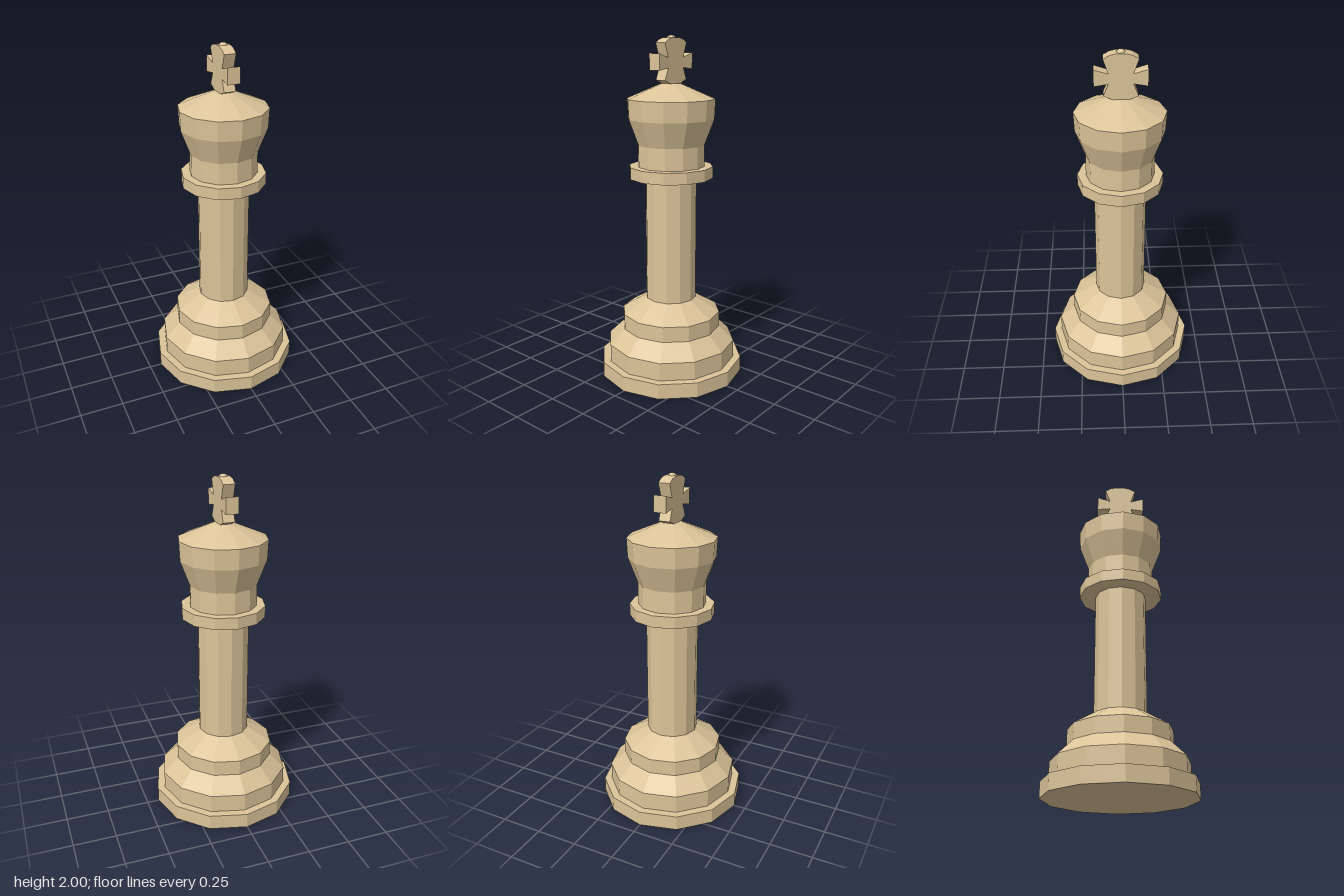
import * as THREE from 'three';

const material = new THREE.MeshStandardMaterial({ color: 0xdcc499, flatShading: true });
const SIDES = 12;

export function createModel() {
  const group = new THREE.Group();
  const add = (name, geometry) => {
    const mesh = new THREE.Mesh(geometry, material);
    mesh.name = name;
    group.add(mesh);
    return mesh;
  };
  // Faceted turning from [radius, height] pairs, listed bottom to top
  const turned = (name, profile) =>
    add(name, new THREE.LatheGeometry(profile.map(([r, y]) => new THREE.Vector2(r, y)), SIDES));

  // Stepped base
  turned('base', [
    [0, 0], [0.43, 0], [0.43, 0.09], [0.385, 0.09], [0.385, 0.197],
    [0.295, 0.285], [0.295, 0.377], [0.15, 0.465],
  ]);

  // Column and collar
  turned('column', [[0.15, 0.465], [0.15, 1.197]]);
  turned('collar', [[0.15, 1.197], [0.245, 1.197], [0.245, 1.265], [0.195, 1.265]]);

  // Flared head with a shallow conical cap
  turned('head', [
    [0.195, 1.265], [0.195, 1.39], [0.25, 1.537], [0.255, 1.65], [0.055, 1.735], [0, 1.735],
  ]);

  // Flared cross, outlined on one half and mirrored
  const half = [
    [0.04, 1.725], [0.045, 1.735], [0.094, 1.755], [0.066, 1.822], [0.144, 1.81],
    [0.144, 1.902], [0.066, 1.878], [0.094, 1.958], [0.06, 1.978], [0.025, 1.986],
  ];
  const outline = [...half, ...half.map(([x, y]) => [-x, y]).reverse()];
  const cross = new THREE.ExtrudeGeometry(
    new THREE.Shape(outline.map(([x, y]) => new THREE.Vector2(x, y))),
    { depth: 2, bevelEnabled: false },
  );
  cross.translate(0, 0, -1).rotateY(-Math.PI / 2);
  // Arm tips are slightly thicker than the body
  const p = cross.attributes.position;
  for (let i = 0; i < p.count; i++) {
    const tip = Math.abs(p.getZ(i)) > 0.12;
    p.setX(i, Math.sign(p.getX(i)) * (tip ? 0.037 : 0.034));
  }
  cross.translate(0, 0, -0.003);
  add('cross', cross);

  // Small ball on top of the cross
  add('finialBall', new THREE.SphereGeometry(0.03, 10, 8)).position.set(0, 1.97, -0.003);

  return group;
}
